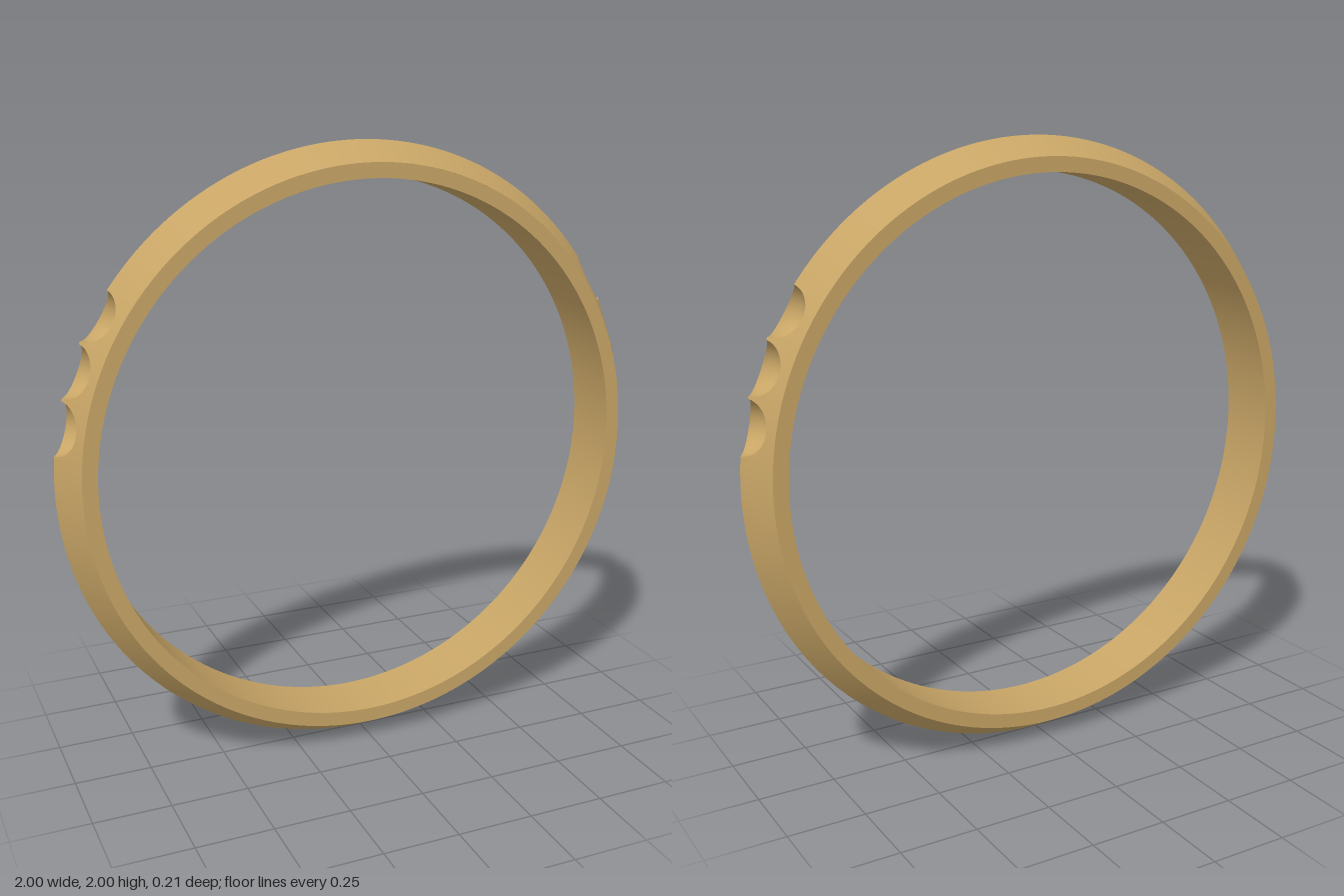
import * as THREE from 'three';
import { mergeVertices } from 'three/addons/utils/BufferGeometryUtils.js';

const BORE = 0.89, EDGE = 0.938, HALF = 0.103; // bore radius, bevel edge radius, half width
const SLOPE = (1 - EDGE) / HALF;               // fall of the bevel from the ridge
const CUP = 0.085, STEP = 0.0893;              // cup radius, half the angle each cup takes
const MID = 0.366;                             // angle of the middle cup

const bevel = (z) => 1 - SLOPE * Math.abs(z);

// Smooth sheet from f(u, v) -> [angle, radius, z], facing du x dv
function sheet(f, nu, nv) {
  const pos = [], index = [];
  for (let i = 0; i <= nu; i++) {
    for (let j = 0; j <= nv; j++) {
      const [a, r, z] = f(i / nu, j / nv);
      pos.push(r * Math.cos(a), 1 + r * Math.sin(a), z);
      if (i < nu && j < nv) {
        const p = i * (nv + 1) + j, q = p + nv + 1;
        index.push(p, q, q + 1, p, q + 1, p + 1);
      }
    }
  }
  let g = new THREE.BufferGeometry();
  g.setAttribute('position', new THREE.Float32BufferAttribute(pos, 3));
  g.setIndex(index);
  g = mergeVertices(g, 1e-5);
  g.computeVertexNormals();
  return g;
}

// Point on the border of a cup's rectangle, v in 0..1 counterclockwise from +angle
function border(v) {
  const s = (v % 1) * 8;
  const c = (x) => THREE.MathUtils.clamp(x, -1, 1);
  const t = s < 4 ? c(2 - s) : c(s - 6);
  const z = s < 2 ? c(s) : s < 6 ? c(4 - s) : c(s - 8);
  return [t * STEP, z * HALF];
}

// Where the ray to a border point crosses the rim of the cup
function rim(v) {
  const [t, z] = border(v);
  const k = CUP / Math.sqrt(t * t + (1 + SLOPE * SLOPE) * z * z);
  return [t * k, z * k];
}

export function createModel() {
  const model = new THREE.Group();
  const gold = new THREE.MeshStandardMaterial({ color: 0xc8a566, side: THREE.DoubleSide });
  const add = (parent, name, geometry) => {
    const mesh = new THREE.Mesh(geometry, gold);
    mesh.name = name;
    parent.add(mesh);
  };

  // Straight section from (r0, z0) to (r1, z1) swept between two angles
  const band = (name, r0, z0, r1, z1, a0, a1, n) =>
    add(model, name, sheet((u, v) => [
      a0 + (a1 - a0) * u, r0 + (r1 - r0) * v, z0 + (z1 - z0) * v], n, 2));

  const full = Math.PI * 2;
  band('frontFace', EDGE, HALF, BORE, HALF, 0, full, 240);
  band('bore', BORE, HALF, BORE, -HALF, 0, full, 240);
  band('backFace', BORE, -HALF, EDGE, -HALF, 0, full, 240);

  // Plain bevels over the top and round the bottom, between the cups
  const low = MID - 3 * STEP, high = MID + 3 * STEP;
  for (const [name, a0, a1, n] of [
    ['top', high, Math.PI - high, 80],
    ['bottom', Math.PI - low, full + low, 140],
  ]) {
    band(name + 'FrontBevel', 1, 0, EDGE, HALF, a0, a1, n);
    band(name + 'BackBevel', EDGE, -HALF, 1, 0, a0, a1, n);
  }

  // Three round cups on each shoulder
  for (const side of ['left', 'right']) {
    const cups = new THREE.Group();
    cups.name = side + 'Cups';
    model.add(cups);
    for (const i of [-1, 0, 1]) {
      const angle = MID + i * 2 * STEP;
      const centre = side === 'left' ? angle : Math.PI - angle;

      // Bevel left standing round the cup, one half each side of the ridge
      for (const half of [0, 0.5]) {
        add(cups, half ? 'cupBackBevel' : 'cupFrontBevel', sheet((u, v) => {
          const [t0, z0] = rim(half + v / 2), [t1, z1] = border(half + v / 2);
          const z = z0 + (z1 - z0) * u;
          return [centre + t0 + (t1 - t0) * u, bevel(z), z];
        }, 4, 32));
      }

      // Hollow of the cup
      add(cups, 'cupHollow', sheet((u, v) => {
        const s = Math.sin(u * Math.PI / 2);
        const [t, z] = rim(v).map((x) => x * s);
        return [centre + t, 1 - Math.sqrt(Math.max(0, CUP * CUP - t * t - z * z)), z];
      }, 14, 64));
    }
  }
  return model;
}
